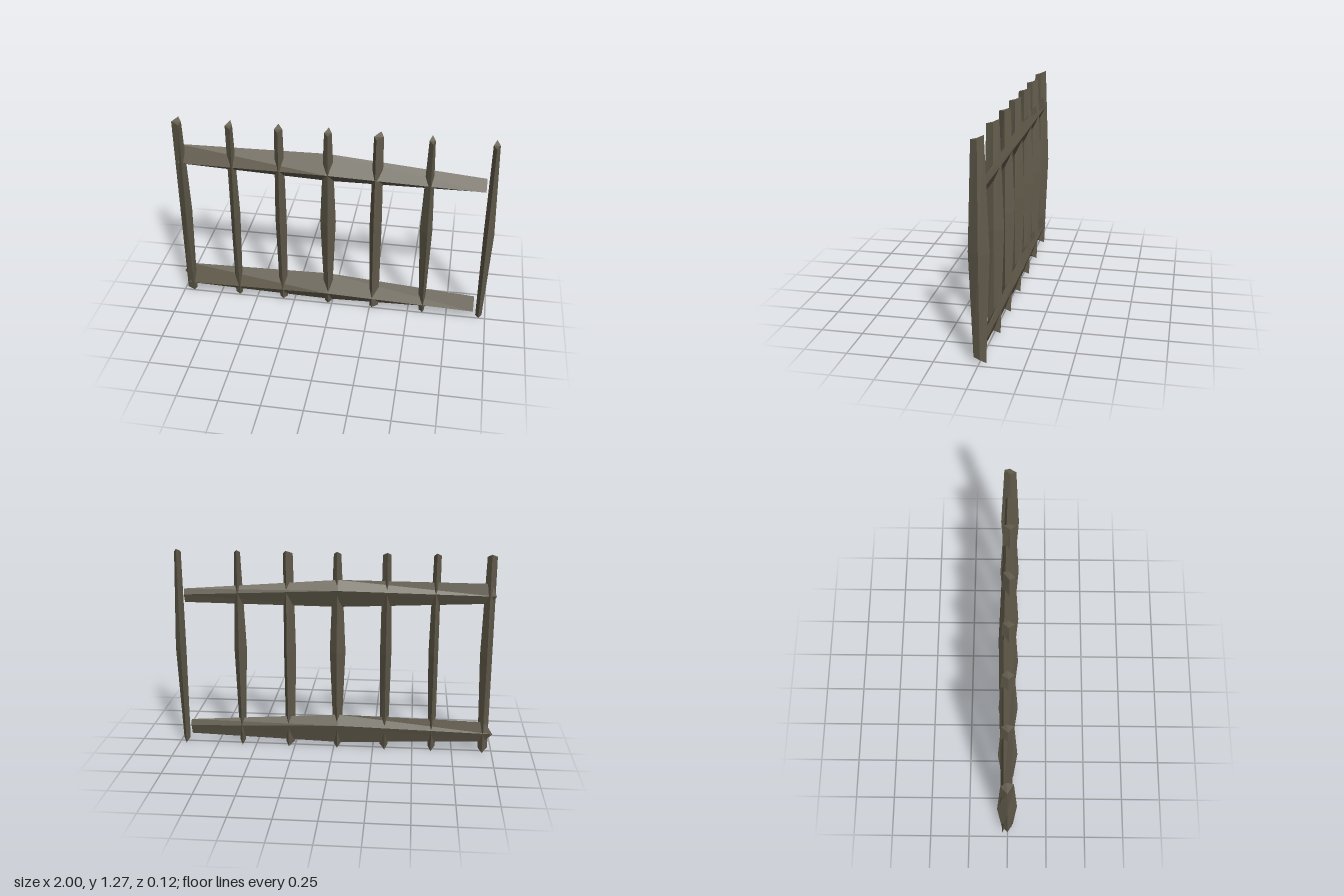
import * as THREE from 'three';

const wood = new THREE.MeshStandardMaterial({ color: 0x605a4a, flatShading: true });

// Hewn timber: skin a series of four-cornered rings and close both ends.
function timber(name, rings) {
  const pos = [];
  const quad = (a, b, c, d) => pos.push(...a, ...b, ...c, ...a, ...c, ...d);
  for (let k = 0; k < rings.length - 1; k++) {
    for (let i = 0; i < 4; i++) {
      const j = (i + 1) % 4;
      quad(rings[k][i], rings[k][j], rings[k + 1][j], rings[k + 1][i]);
    }
  }
  quad(...[...rings[0]].reverse());
  quad(...rings[rings.length - 1]);
  const geo = new THREE.BufferGeometry();
  geo.setAttribute('position', new THREE.Float32BufferAttribute(pos, 3));
  geo.computeVertexNormals();
  const mesh = new THREE.Mesh(geo, wood);
  mesh.name = name;
  return mesh;
}

// Corner heights at the cut ends, in the order right, back, left, front.
const FOOT = [0.035, 0.01, 0.035, 0.04];
const TIP = [1.265, 1.285, 1.265, 1.26];

// Post: left and right edge at the ends and at the swollen middle, front ridge, back ridge.
function post({ ends, mid, front, back }) {
  const ring = ([l, r], ys, s) => [
    [r, ys[0], -0.005 * s], [back, ys[1], -0.037 * s],
    [l, ys[2], 0.0], [front, ys[3], 0.034 * s],
  ];
  return timber('post', [
    ring(ends, FOOT, 1),
    ring(mid, [0.65, 0.65, 0.65, 0.65], 1.65),
    ring(ends, TIP, 1),
  ]);
}

const POSTS = [
  { ends: [-0.975, -0.915], mid: [-0.975, -0.9], front: -0.922, back: -0.94 },
  { ends: [-0.645, -0.6], mid: [-0.645, -0.585], front: -0.608, back: -0.618 },
  { ends: [-0.345, -0.295], mid: [-0.357, -0.287], front: -0.318, back: -0.325 },
  { ends: [-0.045, 0.0], mid: [-0.072, 0.025], front: -0.018, back: -0.022 },
  { ends: [0.25, 0.308], mid: [0.238, 0.312], front: 0.268, back: 0.288 },
  { ends: [0.572, 0.608], mid: [0.548, 0.625], front: 0.598, back: 0.588 },
  { ends: [0.938, 0.978], mid: [0.935, 1.0], front: 0.958, back: 0.957 },
];

// Rail section: x, then the [y, z] corners back, top, front and bottom.
const section = (x, ...corners) => corners.map(([y, z]) => [x, y, z]);

export function createModel() {
  const fence = new THREE.Group();
  fence.name = 'fence';

  POSTS.forEach((p) => fence.add(post(p)));

  const upper = [
    section(-0.95, [1.03, -0.036], [1.105, -0.022], [0.995, 0.022], [0.98, -0.015]),
    section(-0.03, [1.05, -0.06], [1.112, -0.03], [1.0, 0.04], [0.938, -0.01]),
    section(0.925, [1.0, -0.03], [1.035, -0.018], [0.965, 0.025], [0.947, -0.01]),
  ];
  upper[0][0][0] = -0.98; // ragged end
  fence.add(timber('upperRail', upper));

  const lower = [
    section(-0.95, [0.14, -0.036], [0.215, -0.022], [0.09, 0.024], [0.08, -0.015]),
    section(-0.03, [0.17, -0.055], [0.235, -0.025], [0.12, 0.042], [0.04, -0.01]),
    section(0.92, [0.13, -0.03], [0.168, -0.018], [0.08, 0.028], [0.068, -0.01]),
  ];
  lower[0][0][0] = -1.0; // ragged end
  fence.add(timber('lowerRail', lower));

  // Rest the feet on the ground
  fence.position.y = -0.01;
  return fence;
}
